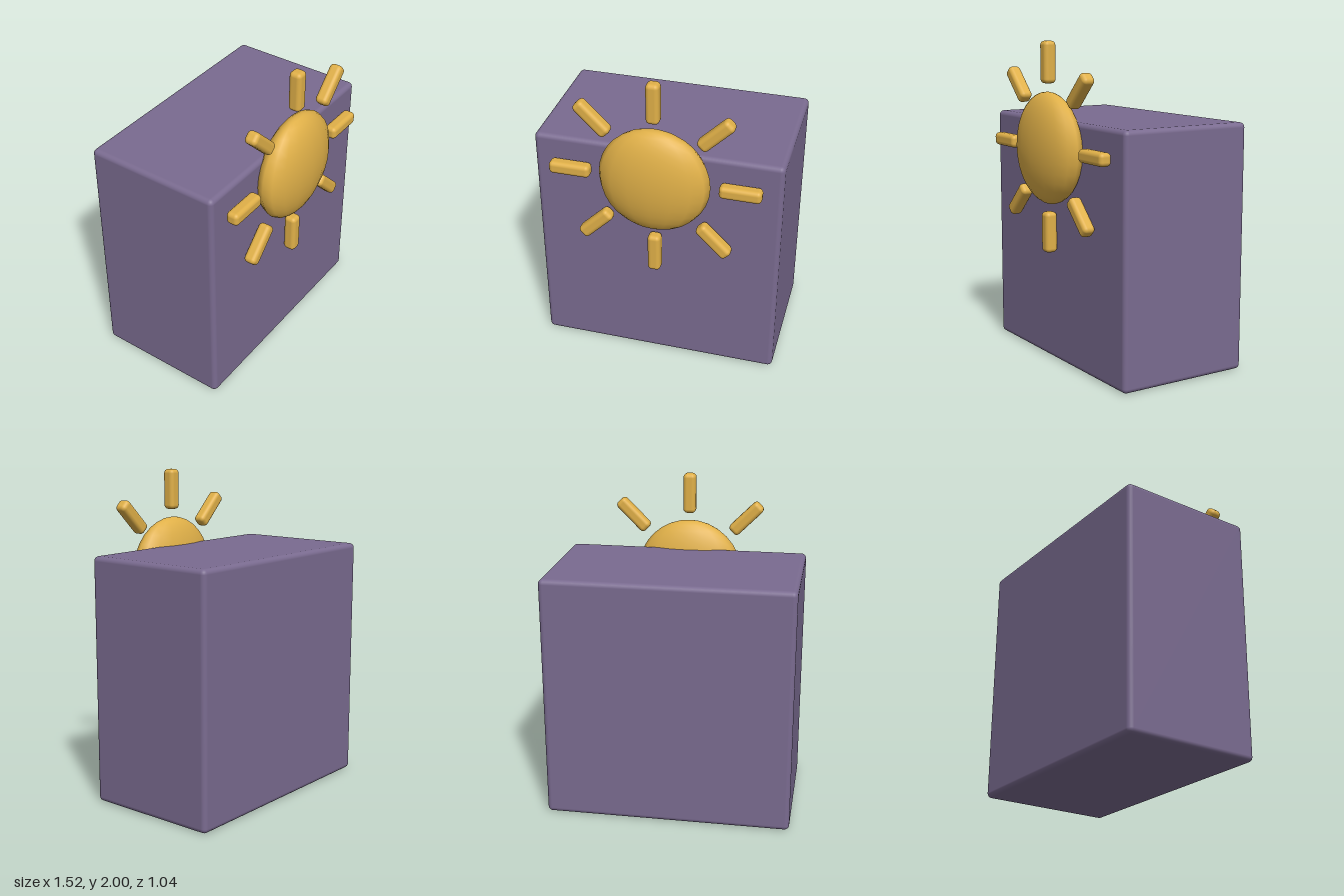
import * as THREE from 'three';
import { RoundedBoxGeometry } from 'three/addons/geometries/RoundedBoxGeometry.js';

export function createModel() {
  const model = new THREE.Group();
  model.name = 'sunBlock';

  const purple = new THREE.MeshStandardMaterial({ color: 0x7a6b90 });
  purple.name = 'dusty purple';
  const gold = new THREE.MeshStandardMaterial({ color: 0xe0b048 });
  gold.name = 'sun gold';

  const add = (parent, name, geometry, material, x, y, z) => {
    const mesh = new THREE.Mesh(geometry, material);
    mesh.name = name;
    mesh.position.set(x, y, z);
    parent.add(mesh);
    return mesh;
  };

  // Block with softened edges
  add(model, 'block', new RoundedBoxGeometry(1.52, 1.525, 0.865, 3, 0.03), purple, 0, 0.7625, -0.0925);

  // Sun emblem, sunk partly into the front of the block
  const sun = new THREE.Group();
  sun.name = 'sun';
  sun.position.set(0, 1.353, 0.39);
  model.add(sun);

  // Flattened disc
  const disc = new THREE.SphereGeometry(1, 16, 16);
  disc.scale(0.34, 0.343, 0.13);
  add(sun, 'sunDisc', disc, gold, 0, 0, 0);

  // Ring of eight rays
  const rayGeometry = new RoundedBoxGeometry(0.254, 0.08, 0.08, 3, 0.026);
  for (let i = 0; i < 8; i++) {
    const angle = (i * Math.PI) / 4;
    const ray = add(sun, 'sunRay', rayGeometry, gold, Math.cos(angle) * 0.52, Math.sin(angle) * 0.52, 0);
    ray.rotation.z = angle;
  }

  return model;
}
